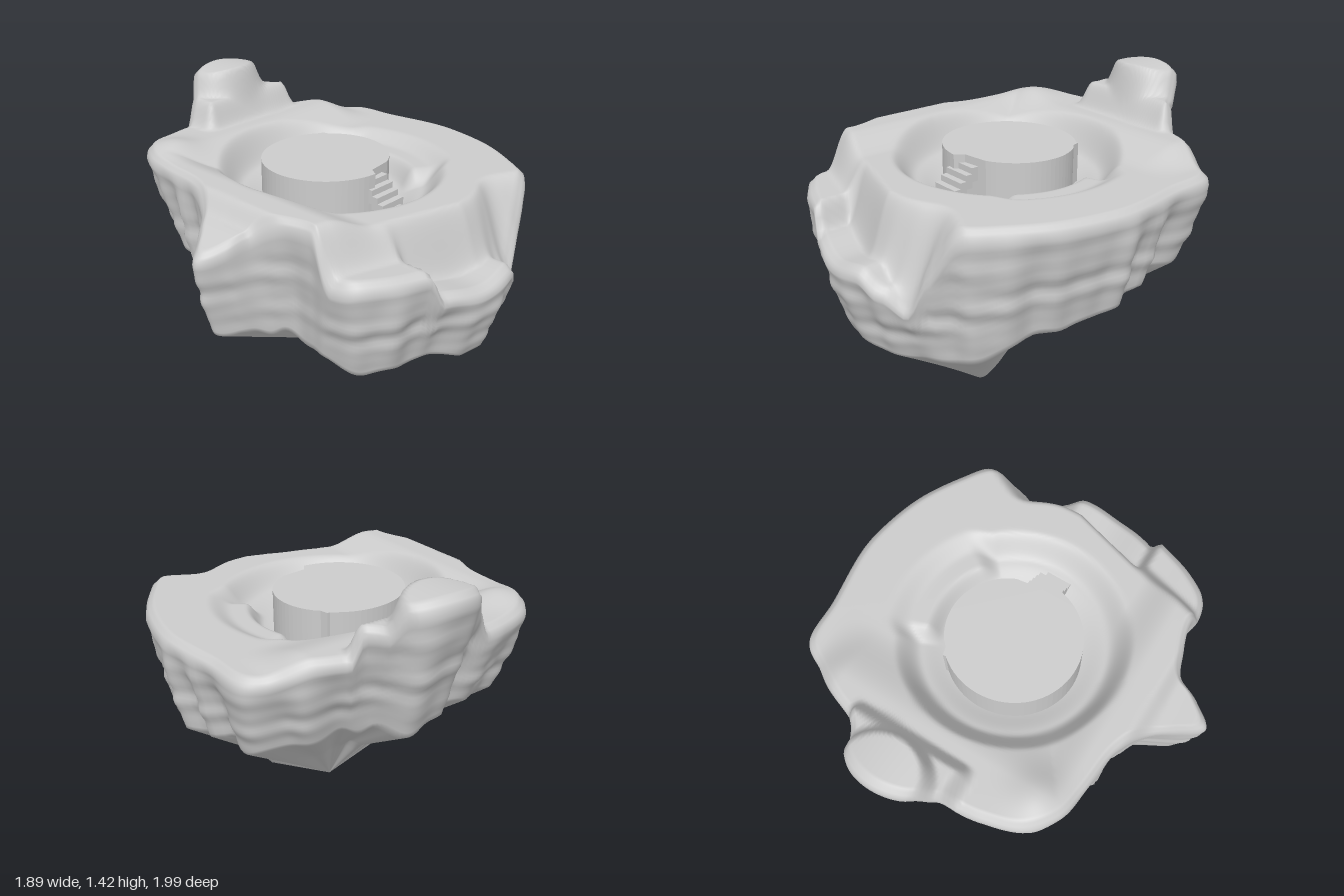
import * as THREE from 'three';

const { smoothstep, lerp } = THREE.MathUtils;
const step = (a, b, v) => (a < b ? smoothstep(v, a, b) : 1 - smoothstep(v, b, a));

// Island outline seen from above (x, z)
const OUTLINE = [
  [0.15, -1], [0.3, -0.95], [0.42, -0.78], [0.6, -0.7], [0.75, -0.62], [0.88, -0.53],
  [0.905, -0.3], [0.945, 0], [0.935, 0.15], [0.87, 0.4], [0.75, 0.62], [0.65, 0.75],
  [0.41, 0.86], [0.25, 0.97], [0.1, 0.995], [-0.1, 0.97], [-0.3, 0.9], [-0.5, 0.82],
  [-0.63, 0.72], [-0.655, 0.6], [-0.64, 0.5], [-0.68, 0.35], [-0.73, 0.25], [-0.85, 0.2],
  [-0.95, 0.12], [-0.85, 0.02], [-0.72, -0.1], [-0.65, -0.25], [-0.62, -0.5], [-0.59, -0.65],
  [-0.48, -0.78], [-0.3, -0.84], [-0.13, -0.87], [0, -0.97],
];
const CENTER = [0.05, 0];
const APEX = [0.08, 0.06];

// Height of the lower front terrace along x
const TERRACE = [[-0.7, 0.92], [-0.58, 0.96], [-0.3, 0.95], [-0.23, 0.82], [0, 0.79],
  [0.2, 0.82], [0.3, 0.75], [0.4, 0.67], [0.5, 0.82], [0.66, 1.0], [0.8, 1.08]];
function terraceHeight(x) {
  const k = TERRACE.findIndex((p) => p[0] > x);
  if (k === 0) return TERRACE[0][1];
  if (k < 0) return 1.08;
  const [a, b] = [TERRACE[k - 1], TERRACE[k]];
  return lerp(a[1], b[1], smoothstep(x, a[0], b[0]));
}

// Ground height at (x, z); t runs from 0 in the middle to 1 at the rim
function groundHeight(x, z, t) {
  const high = Math.max(step(-0.33, -0.55, x), step(-0.3, -0.6, z) * step(0.8, 0.6, x));
  let y = 1.09 + 0.07 * high;
  y += 0.04 * Math.exp(-((x + 0.45) ** 2 + (z + 0.62) ** 2) / 0.015);
  // crater with a raised shelf on the +x side
  const dx = x - CENTER[0], d = Math.hypot(dx, z), a = Math.atan2(z, dx);
  const shelf = step(-0.55, -0.35, a) * step(0.85, 0.6, a);
  const floor = lerp(0.93, 0.98, step(0.3, 0.47, d));
  const bowl = lerp(floor, 1.04, shelf * step(0.35, 0.43, d));
  const rim = 0.57 + 0.05 * shelf;
  y = lerp(y, bowl, step(rim, rim - 0.12, d));
  // drop to the front terrace, gentler above the notch
  const notch = Math.exp(-(((x - 0.43) / 0.14) ** 2));
  const edge = Math.min(0.72, 0.5 + (x + 0.62) * 0.3) - 0.09 * notch;
  y = lerp(y, terraceHeight(x), step(edge, edge + 0.14 + 0.1 * notch, z));
  // side spur
  const spur = step(-0.65, -0.74, x) * step(0.5, 0.3, z) * step(-0.3, -0.1, z);
  y = lerp(y, lerp(1.08, 1.01, step(-0.72, -0.94, x)), spur);
  // back tower, with a shoulder below its top
  const tx = x - 0.14;
  const shoulder = step(-0.18, -0.1, x) * step(0.48, 0.42, x) * step(-0.65, -0.73, z);
  y = lerp(y, 1.29, shoulder);
  y = lerp(y, 1.43 - 0.8 * tx * tx, step(0.24, 0.175, Math.hypot(tx, (z + 0.9) * 1.2)));
  return y - 0.03 * step(0.96, 1, t);
}

// Erosion ribs around the rock
function ribs(a) {
  const back = step(0.3, -0.4, Math.sin(a));
  return 0.012 * Math.sin(9 * a + 1) + 0.012 * Math.sin(17 * a + 2.3 * Math.sin(2 * a))
    + 0.01 * Math.sin(31 * a + 0.7) + back * 0.018 * Math.sin(23 * a + Math.sin(5 * a));
}

function buildRock() {
  const curve = new THREE.CatmullRomCurve3(OUTLINE.map(([x, z]) => new THREE.Vector3(x, 0, z)), true);
  const N = 306, TOP = 72, WALL = 22, UNDER = 16;
  const pos = [], index = [];
  const rimPts = Array.from({ length: N }, (_, i) => curve.getPoint(i / N));
  // top surface
  for (let r = 0; r <= TOP; r++) {
    const t = r / TOP;
    for (const p of rimPts) {
      const s = t * 0.99;
      const x = lerp(CENTER[0], p.x, s), z = lerp(CENTER[1], p.z, s);
      pos.push(x, groundHeight(x, z, t), z);
    }
  }
  // where the wall ends and the underside begins
  const foot = rimPts.map((p) => {
    const a = Math.atan2(p.z, p.x), spine = Math.exp(-(((a - 1.09) / 0.35) ** 2));
    const back = step(-0.4, -0.9, p.z);
    return { a, spine, back, y: 0.59 - 0.165 * p.z - 0.09 * spine + 0.6 * ribs(a + 1),
      s: 0.88 - 0.08 * back + 0.01 * spine + ribs(a) };
  });
  // layered side wall
  for (let r = 1; r <= WALL; r++) {
    const v = r / WALL;
    rimPts.forEach((p, i) => {
      const f = foot[i], mid = Math.sin(Math.PI * v);
      const yTop = groundHeight(p.x * 0.99, p.z * 0.99, 1) - 0.01;
      const y = lerp(yTop, f.y, v);
      const strata = 0.006 * Math.sin(y * 36 + 2 * Math.sin(3 * f.a)) + 0.004 * Math.sin(y * 61 + 4 * f.a);
      const s = Math.min(1, lerp(1, f.s, Math.pow(v, 1.1)) + (strata + 0.5 * ribs(f.a)) * mid);
      pos.push(p.x * s, y, p.z * s);
    });
  }
  // underside running to the apex, with a hanging point at the front and a hollow at the back
  for (let r = 1; r <= UNDER; r++) {
    const u = 1 - r / UNDER;
    rimPts.forEach((p, i) => {
      const f = foot[i], k = 0.4375;
      const tent = u < k ? u / k : (1 - u) / (1 - k);
      const y = lerp(APEX[1], f.y, u) + (0.08 * f.back - 0.19 * f.spine) * tent;
      pos.push(lerp(APEX[0], p.x * f.s, u), y, p.z * f.s * u);
    });
  }
  const rows = TOP + WALL + UNDER;
  for (let r = 0; r < rows; r++) {
    for (let i = 0; i < N; i++) {
      const j = (i + 1) % N, a = r * N, b = a + N;
      if (r > 0) index.push(a + i, a + j, b + i);
      if (r < rows - 1) index.push(a + j, b + j, b + i);
    }
  }
  const geo = new THREE.BufferGeometry();
  geo.setAttribute('position', new THREE.Float32BufferAttribute(pos, 3));
  geo.setIndex(index);
  geo.computeVertexNormals();
  return geo;
}

function buildPlatform() {
  // round plinth with two small notches (x, z)
  const pts = [[0.02, 0.305], [0.05, 0.26], [0.13, 0.25]];
  const arc = (cx, cz, rx, rz, from, to) => {
    for (let a = from; a >= to; a -= 5) {
      const r = THREE.MathUtils.degToRad(a);
      pts.push([cx + rx * Math.cos(r), cz + rz * Math.sin(r)]);
    }
  };
  arc(0.05, -0.03, 0.315, 0.3, 65, -38);
  pts.push([0.28, -0.23], [0.27, -0.27]);
  arc(0.04, -0.02, 0.335, 0.325, -50, -268);
  const shape = new THREE.Shape(pts.map(([x, z]) => new THREE.Vector2(x, -z)));
  const geo = new THREE.ExtrudeGeometry(shape, { depth: 0.24, bevelEnabled: false });
  return geo.rotateX(-Math.PI / 2).translate(0, 0.9, 0);
}

export function createModel() {
  const stone = new THREE.MeshStandardMaterial({ color: 0xcccccc });
  stone.name = 'grey stone';
  const model = new THREE.Group();
  model.name = 'floatingIsland';
  const add = (name, geo, parent = model) => {
    const mesh = new THREE.Mesh(geo, stone);
    mesh.name = name;
    parent.add(mesh);
    return mesh;
  };
  add('rock', buildRock());
  add('platform', buildPlatform());
  // stairs up to the platform
  const stairs = new THREE.Group();
  stairs.name = 'stairs';
  model.add(stairs);
  for (let i = 0; i < 5; i++) {
    const w = i === 4 ? 0.13 : 0.155;
    add('stair', new THREE.BoxGeometry(w, 0.07, 0.036), stairs)
      .position.set(-0.02 + w / 2, 1.065 - i * 0.03, 0.268 + i * 0.034);
  }
  return model;
}
